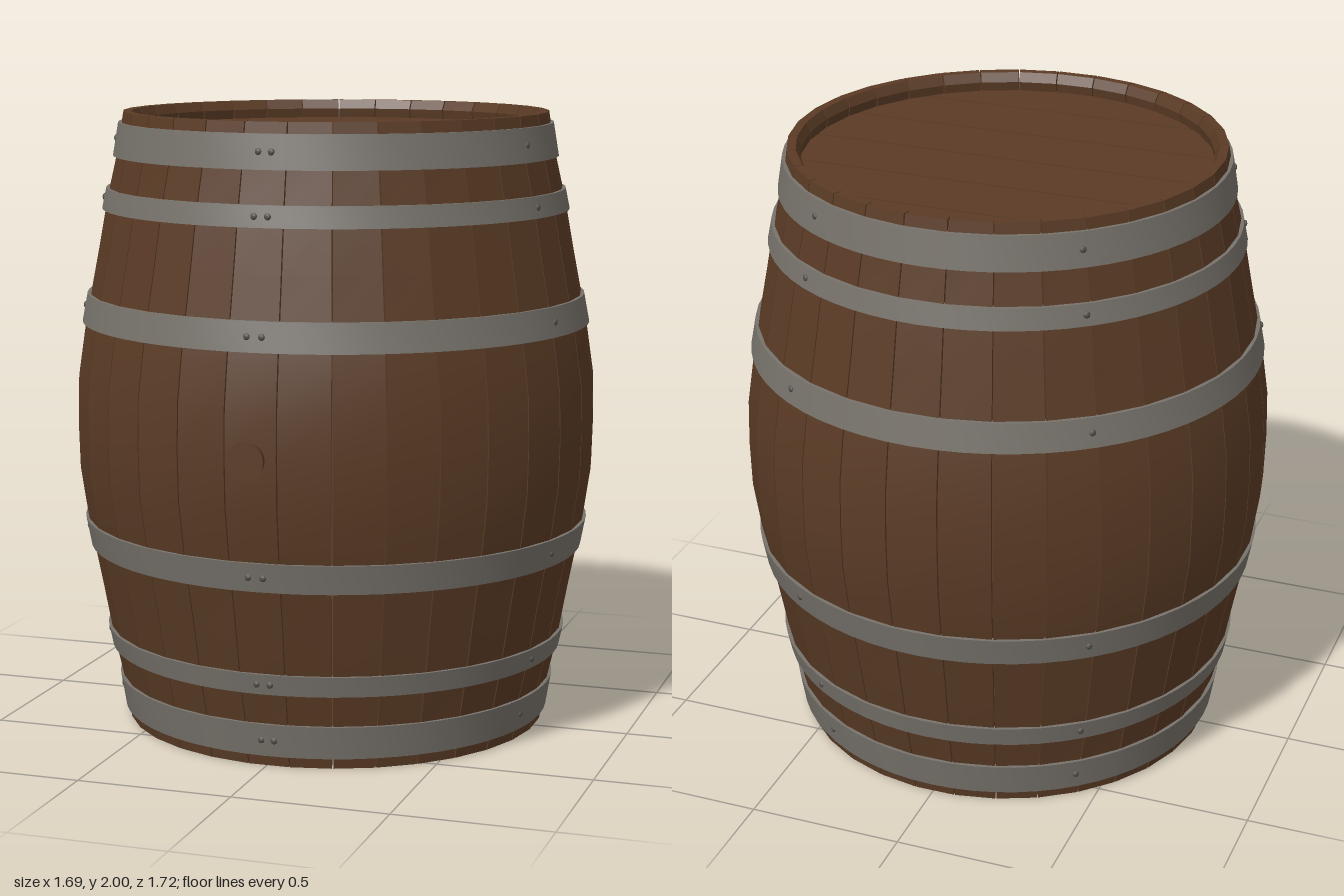
import * as THREE from 'three';
import { toCreasedNormals } from 'three/addons/utils/BufferGeometryUtils.js';

const wood = new THREE.MeshStandardMaterial({ name: 'brown wood', color: 0x5a3b25 });
const iron = new THREE.MeshStandardMaterial({ name: 'grey iron', color: 0x77726b });
const darkIron = new THREE.MeshStandardMaterial({ name: 'dark iron', color: 0x55514c });

const STAVES = 32;
const AXIS_Z = -0.012;

// Half of the bulging profile: [distance from the middle, radius]
const PROFILE = [[0, 0.85], [0.15, 0.846], [0.3, 0.824], [0.37, 0.811], [0.55, 0.776],
  [0.72, 0.745], [0.86, 0.713], [1, 0.69]];

function radiusAt(y) {
  const d = Math.abs(y - 1);
  let i = 0;
  while (i < PROFILE.length - 2 && PROFILE[i + 1][0] < d) i++;
  const [a, ra] = PROFILE[i];
  const [b, rb] = PROFILE[i + 1];
  return THREE.MathUtils.lerp(ra, rb, (d - a) / (b - a));
}

function add(parent, name, geometry, material) {
  const mesh = new THREE.Mesh(geometry, material);
  mesh.name = name;
  parent.add(mesh);
  return mesh;
}

// One stave facing +z: a closed bent plank swept up the profile
function staveGeometry() {
  const pos = [];
  const index = [];
  const heights = [...PROFILE.map(([d]) => 1 - d).reverse(), ...PROFILE.slice(1).map(([d]) => 1 + d)];
  heights.splice(1, 0, 0.03);
  heights.splice(heights.length - 1, 0, 1.97);
  const half = Math.PI / STAVES;
  heights.forEach((y) => {
    const end = y < 0.01 || y > 1.99;
    const outer = radiusAt(y);
    const inner = outer - (end ? 0.028 : 0.048);
    for (const [r, s] of [[outer, -1], [outer, 1], [inner, 1], [inner, -1]]) {
      pos.push(s * (r * Math.sin(half) - 0.002), y, r * Math.cos(half));
    }
  });
  const rows = heights.length;
  for (let i = 0; i < rows - 1; i++) {
    for (let k = 0; k < 4; k++) {
      const a = i * 4 + k;
      const b = i * 4 + (k + 1) % 4;
      index.push(a, b, b + 4, a, b + 4, a + 4);
    }
  }
  const t = (rows - 1) * 4;
  index.push(0, 2, 1, 0, 3, 2, t, t + 1, t + 2, t, t + 2, t + 3);
  const g = new THREE.BufferGeometry();
  g.setAttribute('position', new THREE.Float32BufferAttribute(pos, 3));
  g.setIndex(index);
  return toCreasedNormals(g, 0.5);
}

// One head plank: the slice of a disc between two parallel cuts
function plankGeometry(v0, v1, radius) {
  const shape = new THREE.Shape();
  const steps = 10;
  const pts = [];
  for (const side of [1, -1]) {
    for (let i = 0; i <= steps; i++) {
      const k = side > 0 ? i / steps : 1 - i / steps;
      const v = THREE.MathUtils.lerp(v0, v1, k);
      pts.push(new THREE.Vector2(side * Math.sqrt(Math.max(1e-5, radius * radius - v * v)), v));
    }
  }
  shape.setFromPoints(pts);
  return new THREE.ExtrudeGeometry(shape, { depth: 0.035, bevelEnabled: false }).rotateX(-Math.PI / 2);
}

// Iron band following the profile
function hoopGeometry(y0, y1) {
  const r0 = radiusAt(y0);
  const r1 = radiusAt(y1);
  const pts = [[r0 - 0.01, y0], [r0 + 0.009, y0], [r1 + 0.009, y1], [r1 - 0.01, y1], [r0 - 0.01, y0]];
  return toCreasedNormals(new THREE.LatheGeometry(pts.map((p) => new THREE.Vector2(...p)), 64), 0.6);
}

export function createModel() {
  const model = new THREE.Group();
  model.name = 'barrel';
  const body = new THREE.Group();
  body.name = 'body';
  body.position.z = AXIS_Z;
  model.add(body);

  // Staves
  const stave = staveGeometry();
  for (let i = 0; i < STAVES; i++) {
    add(body, 'stave', stave, wood).rotation.y = (i / STAVES) * Math.PI * 2 + 0.009;
  }

  // Planked heads, recessed at both ends
  const headRadius = 0.668;
  const pitch = 0.2315;
  for (const [name, y] of [['topHeadPlank', 1.905], ['bottomHeadPlank', 0.06]]) {
    for (let i = -3; i < 3; i++) {
      const v0 = Math.max(-headRadius, i * pitch + 0.011);
      const v1 = Math.min(headRadius, (i + 1) * pitch + 0.005);
      add(body, name, plankGeometry(v0, v1, headRadius), wood).position.y = y;
    }
  }

  // Hoops, each with five rivets and one more at the overlap
  const rivet = new THREE.SphereGeometry(0.011, 10, 6);
  const rivetAngles = [-0.8, 2.5, 74.5, 146.5, 218.5, 290.5].map(THREE.MathUtils.degToRad);
  for (const [a, b] of [[0.035, 0.142], [0.245, 0.312], [0.585, 0.678]]) {
    for (const [y0, y1] of [[a, b], [2 - b, 2 - a]]) {
      add(body, 'hoop', hoopGeometry(y0, y1), iron);
      const y = (y0 + y1) / 2;
      const r = radiusAt(y) + 0.008;
      for (const t of rivetAngles) {
        const m = add(body, 'rivet', rivet, darkIron);
        m.position.set(r * Math.sin(t), y, r * Math.cos(t));
        m.rotation.y = t;
        m.scale.z = 0.6;
      }
    }
  }

  // Bung on the front
  const bung = add(model, 'bung', new THREE.CylinderGeometry(0.06, 0.048, 0.06, 20), wood);
  bung.rotation.x = Math.PI / 2;
  bung.position.set(0, 1, 0.835);

  return model;
}
